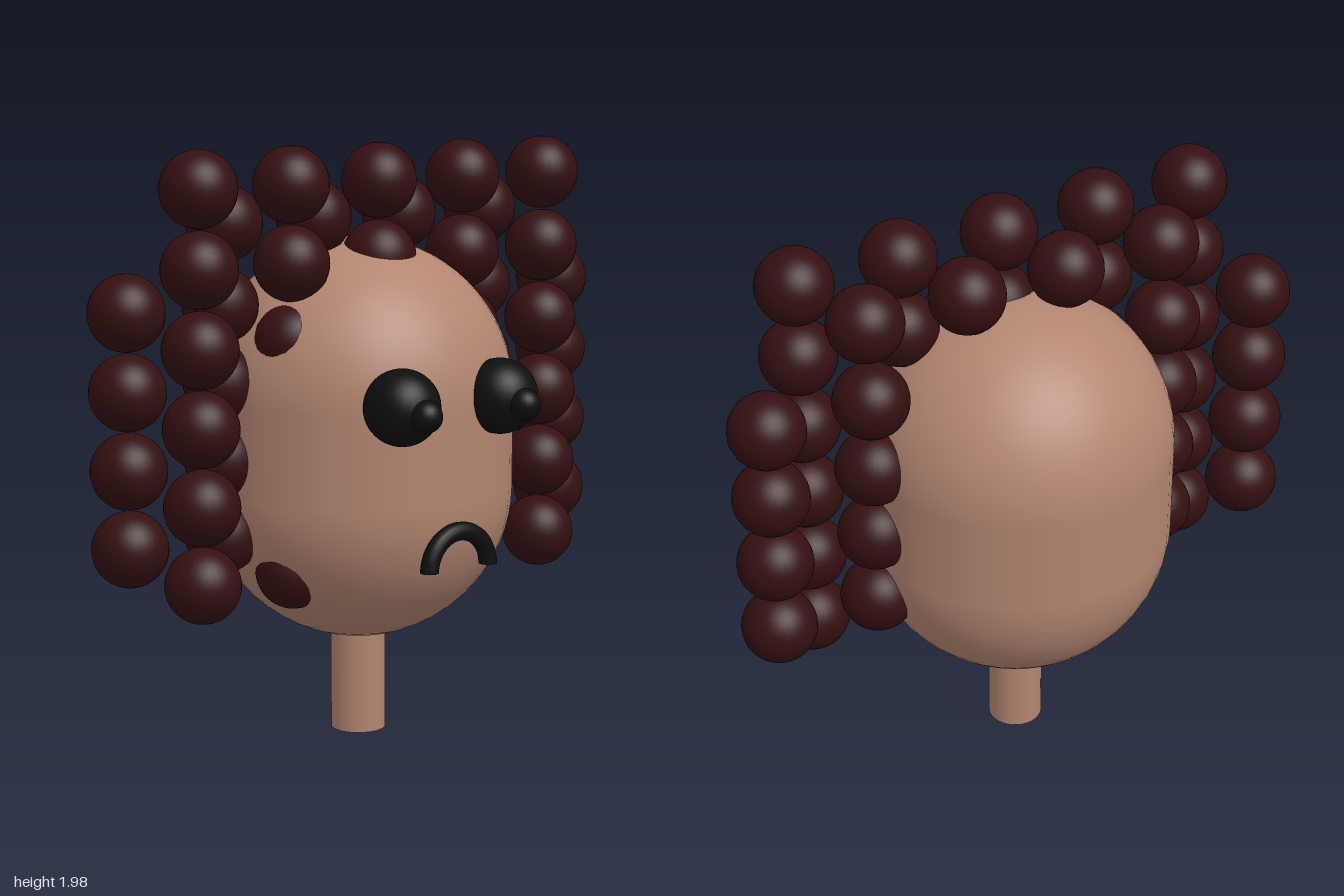
import * as THREE from 'three';

export function createModel() {
  const model = new THREE.Group();
  const mat = (name, color) => {
    const m = new THREE.MeshStandardMaterial({ color });
    m.name = name;
    return m;
  };
  const skin = mat('skin', 0xb28570);
  const hairColor = mat('dark red hair', 0x340f10);
  const black = mat('black', 0x0e0e0e);
  black.side = THREE.DoubleSide;

  const add = (name, geometry, material, x, y, z, parent = model) => {
    const mesh = new THREE.Mesh(geometry, material);
    mesh.name = name;
    mesh.position.set(x, y, z);
    parent.add(mesh);
    return mesh;
  };

  // Head and neck; the face looks along +x
  const HX = -0.075, R = 0.517, LOW = 0.847, HIGH = 1.153;
  add('head', new THREE.CapsuleGeometry(R, HIGH - LOW, 16, 48), skin, HX, 1, 0);
  add('neck', new THREE.CylinderGeometry(0.092, 0.092, 0.4, 32), skin, HX, 0.2, 0);

  // Hair: two staggered sheets of curls, leaving out those buried in the head
  const hair = new THREE.Group();
  hair.name = 'hair';
  model.add(hair);
  const CURL = 0.123;
  const curlGeometry = new THREE.SphereGeometry(CURL, 32, 20);
  const curl = (x, y, z) => {
    const dy = y - THREE.MathUtils.clamp(y, LOW, HIGH);
    if (Math.hypot(x - HX, dy, z) + CURL > R - 0.01) add('curl', curlGeometry, hairColor, x, y, z, hair);
  };
  for (let row = 0; row < 6; row++) {
    for (let col = -2; col <= 2; col++) curl(0.04, 0.61 + row * 0.25, col * 0.35);
  }
  for (let row = 0; row < 4; row++) {
    for (let col = -2.5; col <= 2.5; col++) curl(-0.105, 0.726 + row * 0.25, col * 0.351);
  }
  for (let col = -1.5; col <= 1.5; col++) curl(-0.08, 1.74, col * 0.35);

  // Bulging eyes with small pupils
  for (const side of [-1, 1]) {
    add('eye', new THREE.SphereGeometry(0.123, 32, 20), black, 0.42, 1.18, side * 0.2);
    add('pupil', new THREE.SphereGeometry(0.052, 24, 16), black, 0.541, 1.167, side * 0.2);
  }

  // Frowning mouth
  const mouth = add('mouth', new THREE.TorusGeometry(0.12, 0.03, 16, 32, Math.PI), black, 0.46, 0.647, 0);
  mouth.rotation.y = Math.PI / 2;

  return model;
}
